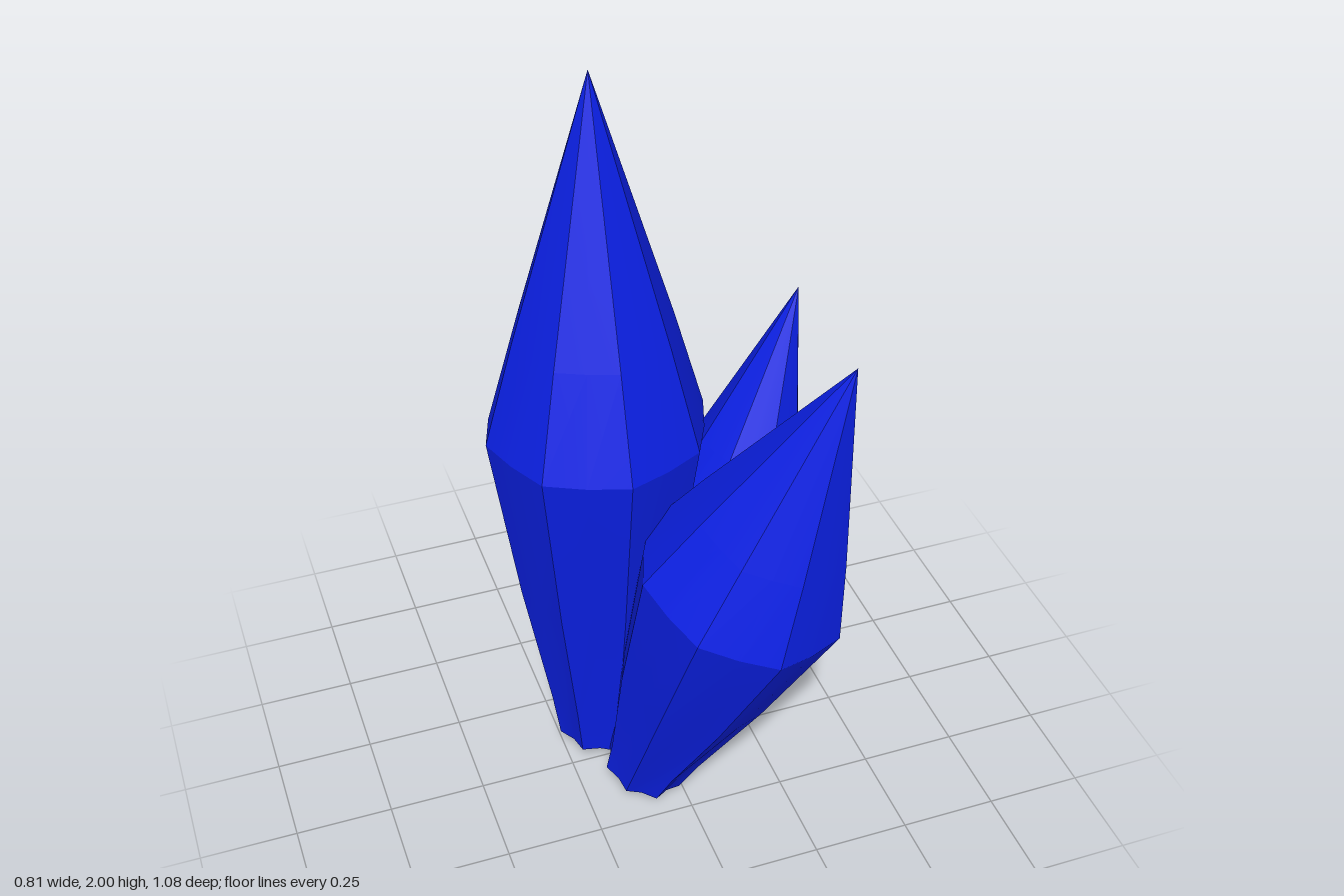
import * as THREE from 'three';
import { toCreasedNormals } from 'three/addons/utils/BufferGeometryUtils.js';

const SIDES = 16; // eight ridges with a shallow groove between each pair

// Lofts a pointed, fluted crystal of the given length along +y.
function crystalGeometry(length, baseR, shoulderR) {
  // [fraction of length, radius, groove depth factor]
  const rings = [
    [0, baseR, 0.86],
    [0.07, baseR * 1.16, 0.88],
    [0.27, baseR + (shoulderR - baseR) * 0.56, 0.93],
    [0.52, shoulderR, 0.95],
    [0.66, shoulderR * 0.725, 0.94],
  ];
  const pos = [];
  const index = [];
  for (const [t, r, groove] of rings) {
    for (let i = 0; i < SIDES; i++) {
      const a = (i / SIDES) * Math.PI * 2;
      const rr = i % 2 ? r * groove : r;
      pos.push(Math.sin(a) * rr, t * length, Math.cos(a) * rr);
    }
  }
  const tip = pos.length / 3;
  pos.push(0, length, 0, 0, 0.01, 0);
  const last = (rings.length - 1) * SIDES;
  for (let i = 0; i < SIDES; i++) {
    const j = (i + 1) % SIDES;
    for (let k = 0; k < last; k += SIDES) {
      index.push(k + i, k + j, k + SIDES + j, k + i, k + SIDES + j, k + SIDES + i);
    }
    index.push(last + i, last + j, tip); // point
    index.push(j, i, tip + 1); // underside
  }
  const g = new THREE.BufferGeometry();
  g.setAttribute('position', new THREE.Float32BufferAttribute(pos, 3));
  g.setIndex(index);
  return toCreasedNormals(g, 0.38);
}

export function createModel() {
  const group = new THREE.Group();
  group.name = 'crystalCluster';
  const material = new THREE.MeshStandardMaterial({ color: 0x0b20e6 });

  // name, centre of base, tip, base radius, shoulder radius
  const crystals = [
    ['tallCrystal', [-0.14, 0.06, -0.07], [-0.14, 2.0, -0.07], 0.12, 0.275],
    ['frontCrystal', [-0.08, 0.04, 0.1], [0.29, 1.47, 0.45], 0.11, 0.267],
    ['leftCrystal', [0.05, 0.05, -0.09], [0.38, 1.34, -0.08], 0.085, 0.184],
    ['backCrystal', [-0.04, 0.05, -0.23], [0, 1.36, -0.455], 0.095, 0.193],
  ];
  const up = new THREE.Vector3(0, 1, 0);
  for (const [name, base, tip, baseR, shoulderR] of crystals) {
    const start = new THREE.Vector3(...base);
    const axis = new THREE.Vector3(...tip).sub(start);
    const mesh = new THREE.Mesh(crystalGeometry(axis.length(), baseR, shoulderR), material);
    mesh.name = name;
    mesh.position.copy(start);
    mesh.quaternion.setFromUnitVectors(up, axis.normalize());
    group.add(mesh);
  }
  return group;
}
